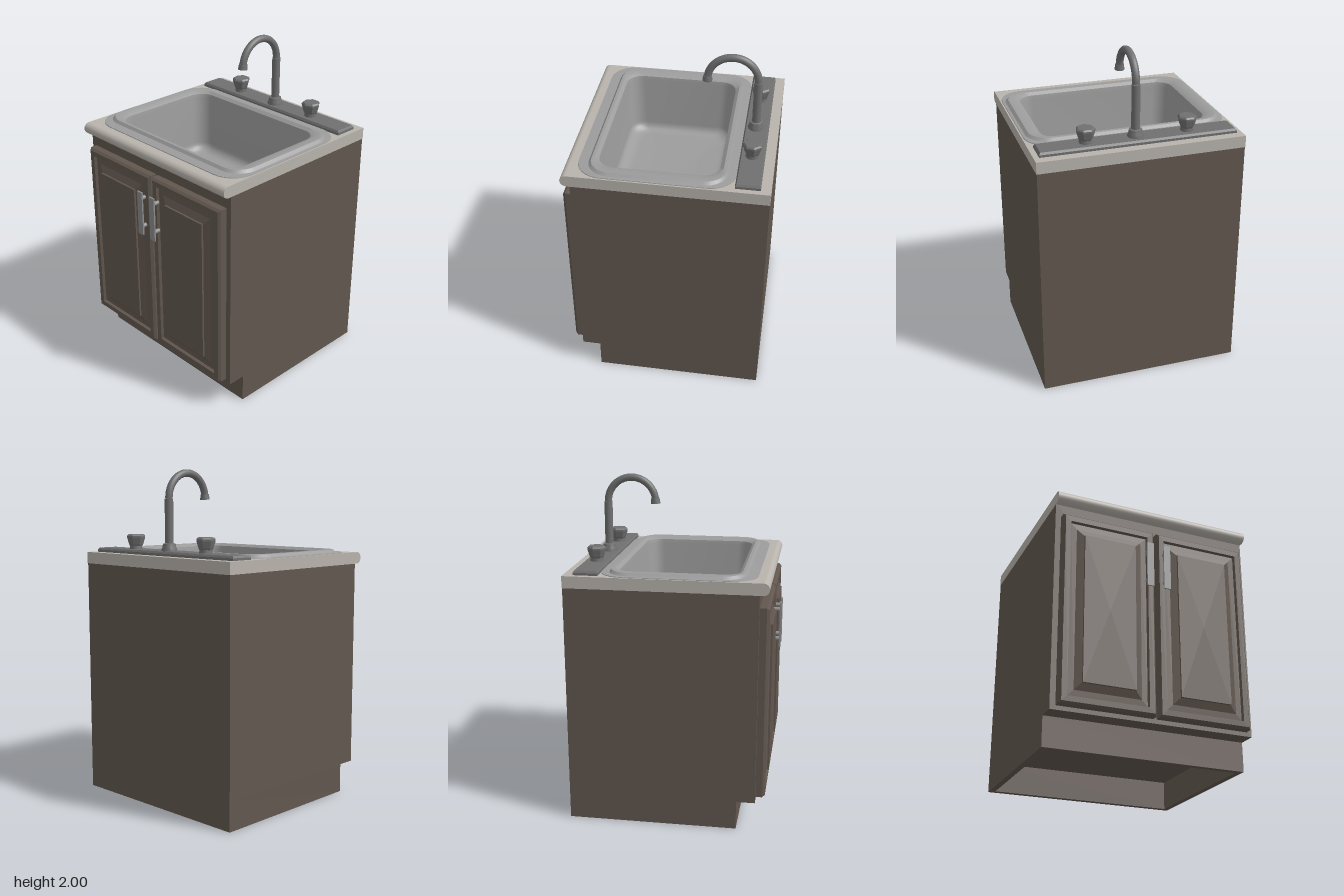
import * as THREE from 'three';
import { toCreasedNormals } from 'three/addons/utils/BufferGeometryUtils.js';

const paint = (color) => new THREE.MeshStandardMaterial({ color, side: THREE.DoubleSide });

// Counter-clockwise rounded rectangle in XY; a radius of 0 gives four corners.
function roundedRect(x0, x1, y0, y1, r = 0, seg = 8) {
  const corners = [[x1 - r, y1 - r], [x0 + r, y1 - r], [x0 + r, y0 + r], [x1 - r, y0 + r]];
  const pts = [];
  corners.forEach(([cx, cy], q) => {
    for (let i = 0; i <= (r ? seg : 0); i++) {
      const a = (q + i / seg) * Math.PI / 2;
      pts.push(new THREE.Vector2(cx + r * Math.cos(a), cy + r * Math.sin(a)));
    }
  });
  return pts;
}

// Skins a stack of loops { pts, z } and closes the last one.
function loft(loops, crease = 0.5) {
  const pos = [], idx = [], n = loops[0].pts.length;
  loops.forEach(({ pts, z }) => pts.forEach((p) => pos.push(p.x, p.y, z)));
  for (let k = 0; k < loops.length - 1; k++) {
    for (let i = 0; i < n; i++) {
      const j = (i + 1) % n, a = k * n + i, b = k * n + j;
      idx.push(a, b, b + n, a, b + n, a + n);
    }
  }
  const last = loops[loops.length - 1], base = (loops.length - 1) * n;
  const mid = last.pts.reduce((s, p) => s.add(p), new THREE.Vector2()).divideScalar(n);
  pos.push(mid.x, mid.y, last.z);
  for (let i = 0; i < n; i++) idx.push(base + i, base + (i + 1) % n, base + n);
  const g = new THREE.BufferGeometry();
  g.setAttribute('position', new THREE.Float32BufferAttribute(pos, 3));
  g.setIndex(idx);
  return toCreasedNormals(g, crease);
}

// Upright slab or frame: a plan outline with a hole, raised from y0 to y1.
function frame(outer, inner, y0, y1) {
  const shape = new THREE.Shape(outer);
  shape.holes.push(new THREE.Path(inner));
  const g = new THREE.ExtrudeGeometry(shape, { depth: y1 - y0, bevelEnabled: false });
  return g.rotateX(-Math.PI / 2).translate(0, y0, 0);
}

// Plan outline given by half width and z range.
const plan = (hx, z0, z1, r = 0) => roundedRect(-hx, hx, -z1, -z0, r);

export function createModel() {
  const model = new THREE.Group();
  const wood = paint(0x62574f), stone = paint(0xb8b3ac);
  const steel = paint(0x9c9c9c), darkSteel = paint(0x707070), handleMetal = paint(0x8c8c8c);

  const add = (name, geometry, material, parent = model, x = 0, y = 0, z = 0) => {
    const mesh = new THREE.Mesh(geometry, material);
    mesh.name = name;
    mesh.position.set(x, y, z);
    parent.add(mesh);
    return mesh;
  };

  // Cabinet carcass over a recessed, hollow plinth
  add('plinth', frame(plan(0.61, -0.605, 0.4), plan(0.575, -0.57, 0.365), 0, 0.175), wood);
  add('cabinet', frame(plan(0.61, -0.605, 0.51), plan(0.58, -0.575, 0.48), 0.175, 1.435), wood);
  add('cabinetFloor', new THREE.BoxGeometry(1.2, 0.02, 1.09), wood, model, 0, 0.187, -0.047);

  // Raised-panel doors with bar handles
  const doorProfile = [[0, 0.508], [0, 0.55], [0.012, 0.565], [0.044, 0.565],
    [0.05, 0.548], [0.085, 0.55], [0.126, 0.567], [0.127, 0.578]];
  for (const side of [-1, 1]) {
    const door = new THREE.Group();
    door.name = side < 0 ? 'rightDoor' : 'leftDoor';
    model.add(door);
    const w = 0.568, h = 1.15;
    add('doorPanel', loft(doorProfile.map(([d, z]) => ({
      pts: roundedRect(-w / 2 + d, w / 2 - d, -h / 2 + d, h / 2 - d), z,
    })), 0.05), wood, door, side * 0.293, 0.775, 0);
    add('handleBar', new THREE.BoxGeometry(0.042, 0.28, 0.01), handleMetal, door, side * 0.053, 1.11, 0.6);
    for (const y of [1.02, 1.205]) {
      const post = new THREE.CylinderGeometry(0.013, 0.013, 0.045, 16).rotateX(Math.PI / 2);
      add('handlePost', post, handleMetal, door, side * 0.053, y, 0.577);
    }
  }

  // Countertop with a rounded front edge
  add('countertop', frame(plan(0.612, -0.607, 0.53), plan(0.535, -0.345, 0.41, 0.1), 1.43, 1.5), stone);
  const nose = new THREE.CylinderGeometry(0.035, 0.035, 1.224, 24, 1, false, 0, Math.PI);
  nose.rotateZ(Math.PI / 2).rotateX(0);
  // Turn the half round so that its curve faces forward
  nose.computeBoundingBox();
  const noseMesh = add('counterFrontEdge', nose, stone, model, 0, 1.465, 0.53);
  const box = nose.boundingBox;
  if (box.min.z < -0.01 && box.max.z > 0.01) {
    noseMesh.rotation.x = box.max.y > 0.01 ? Math.PI / 2 : -Math.PI / 2;
  }

  // Sink: flat flange, raised rim, then walls curving into the floor
  const sinkProfile = [ // half width, z back, z front, corner radius, height
    [0.603, -0.41, 0.49, 0.15, 1.5], [0.602, -0.409, 0.489, 0.15, 1.504],
    [0.586, -0.362, 0.43, 0.13, 1.506], [0.57, -0.352, 0.417, 0.12, 1.522],
    [0.525, -0.332, 0.4, 0.1, 1.522], [0.498, -0.312, 0.38, 0.095, 1.506],
    [0.494, -0.308, 0.376, 0.095, 1.48],
  ];
  for (let i = 0; i <= 6; i++) {
    const a = i / 6 * Math.PI / 2, d = 0.06 * (1 - Math.cos(a));
    sinkProfile.push([0.484 - d, -0.298 + d, 0.366 - d * 1.5, 0.095 - d * 0.5, 1.17 - 0.06 * Math.sin(a)]);
  }
  const sink = loft(sinkProfile.map(([hx, z0, z1, r, y]) => ({ pts: plan(hx, z0, z1, r), z: y })), 0.6);
  add('sinkBasin', sink.rotateX(-Math.PI / 2), steel);

  // Tap deck with a bevelled top
  const deck = loft([[0, 1.498], [0, 1.514], [0.008, 1.526]].map(([d, y]) => ({
    pts: plan(0.58 - d, -0.55 + d, -0.408 - d), z: y,
  })), 0.05);
  add('tapDeck', deck.rotateX(-Math.PI / 2), darkSteel);

  // Seven-sided tap knobs on round collars
  const v2 = (list) => list.map(([r, y]) => new THREE.Vector2(r, y));
  const knobProfile = v2([[0, 0], [0.038, 0], [0.044, 0.012], [0.056, 0.052], [0.056, 0.062], [0.048, 0.071], [0, 0.071]]);
  for (const side of [-1, 1]) {
    const knob = new THREE.Group();
    knob.name = side < 0 ? 'rightTapKnob' : 'leftTapKnob';
    knob.position.set(side * 0.3, 1.525, -0.477);
    model.add(knob);
    add('knobCollar', new THREE.CylinderGeometry(0.036, 0.038, 0.022, 24), darkSteel, knob, 0, 0.01, 0);
    const head = toCreasedNormals(new THREE.LatheGeometry(knobProfile, 7), 0.05);
    add('knobHead', head, darkSteel, knob, 0, 0.019, 0);
  }

  // Swan-neck faucet
  const faucet = new THREE.Group();
  faucet.name = 'faucet';
  faucet.position.set(0.007, 0, -0.473);
  model.add(faucet);
  const baseProfile = v2([[0.047, 1.522], [0.047, 1.532], [0.042, 1.545], [0.037, 1.568], [0.026, 1.572]]);
  add('faucetBase', toCreasedNormals(new THREE.LatheGeometry(baseProfile, 28), 0.5), darkSteel, faucet);
  add('faucetStem', new THREE.CylinderGeometry(0.025, 0.025, 0.28, 24), darkSteel, faucet, 0, 1.69, 0);
  const R = 0.147, arc = [];
  for (let i = 0; i <= 16; i++) {
    const a = i / 16 * Math.PI * 0.97;
    arc.push(new THREE.Vector3(0, 1.831 + R * Math.sin(a), R - R * Math.cos(a)));
  }
  add('faucetNeck', new THREE.TubeGeometry(new THREE.CatmullRomCurve3(arc), 48, 0.022, 18), darkSteel, faucet);
  const tip = add('faucetTip', new THREE.CylinderGeometry(0.025, 0.029, 0.032, 24), darkSteel, faucet, 0, 1.838, 2 * R - 0.001);
  tip.rotation.x = -0.08;

  return model;
}
